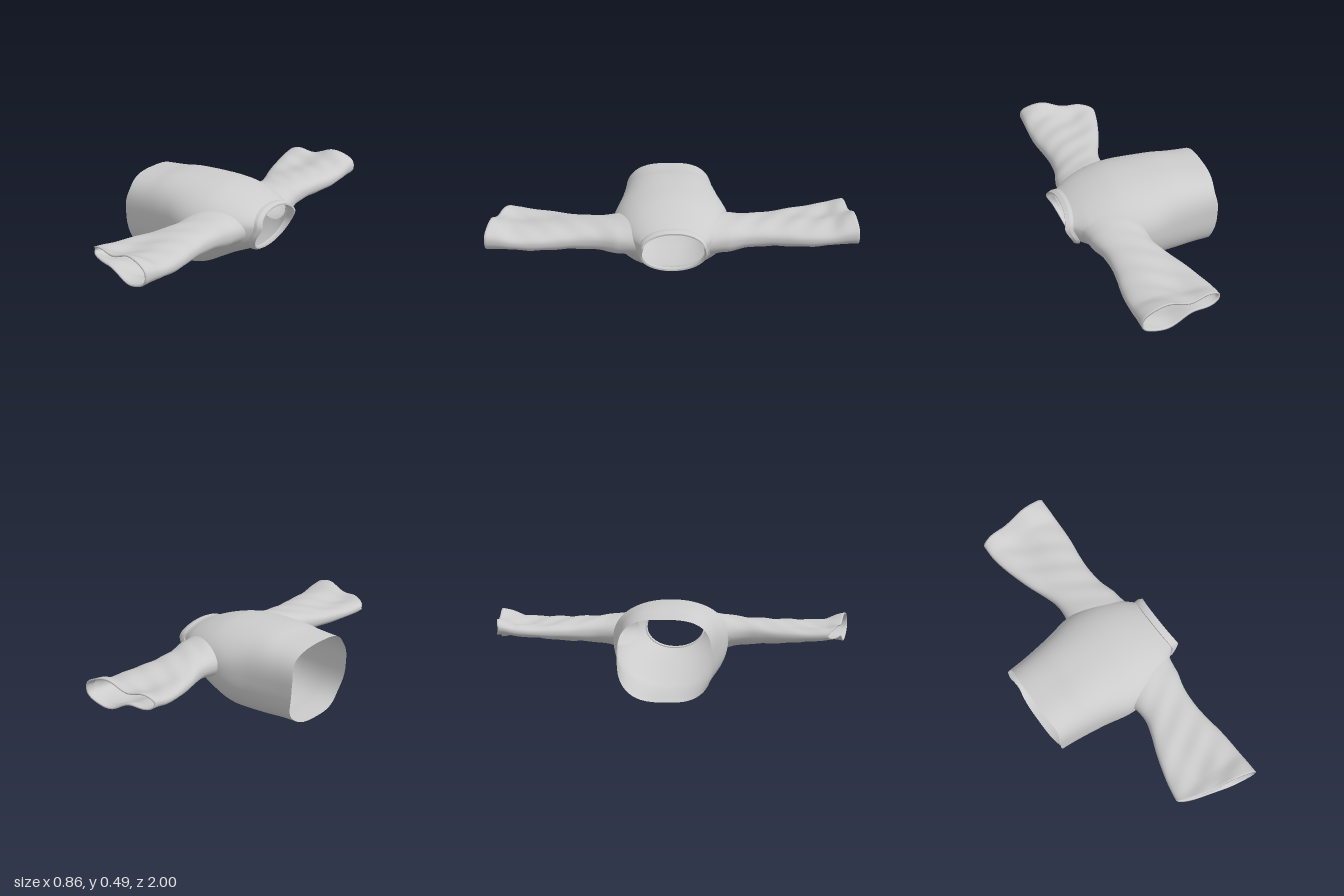
import * as THREE from 'three';

const TAU = Math.PI * 2;
const spow = (v, p) => Math.sign(v) * Math.pow(Math.abs(v), p);

// Smooth curve through [key, value] pairs
function profile(pts) {
  const n = pts.length;
  const slope = (i) => {
    const a = pts[Math.max(i - 1, 0)], b = pts[Math.min(i + 1, n - 1)];
    return (b[1] - a[1]) / (b[0] - a[0]);
  };
  return (k) => {
    if (k <= pts[0][0]) return pts[0][1];
    if (k >= pts[n - 1][0]) return pts[n - 1][1];
    let i = 0;
    while (k > pts[i + 1][0]) i++;
    const d = pts[i + 1][0] - pts[i][0], t = (k - pts[i][0]) / d, t2 = t * t, t3 = t2 * t;
    return (2 * t3 - 3 * t2 + 1) * pts[i][1] + (t3 - 2 * t2 + t) * d * slope(i)
      + (3 * t2 - 2 * t3) * pts[i + 1][1] + (t3 - t2) * d * slope(i + 1);
  };
}

const material = new THREE.MeshStandardMaterial({ color: 0xcccccc, side: THREE.DoubleSide });

// Closed rings joined into a skin; skip(x, y, z) leaves openings
function loft(name, rows, cols, point, { flip = false, skip = () => false } = {}) {
  const pos = [], idx = [];
  for (let i = 0; i <= rows; i++)
    for (let j = 0; j < cols; j++) pos.push(...point(i, (j / cols) * TAU));
  for (let i = 0; i < rows; i++)
    for (let j = 0; j < cols; j++) {
      const a = i * cols + j, d = i * cols + (j + 1) % cols, b = a + cols, c = d + cols;
      const mid = [0, 1, 2].map((k) => (pos[a * 3 + k] + pos[b * 3 + k] + pos[c * 3 + k] + pos[d * 3 + k]) / 4);
      if (skip(...mid)) continue;
      if (flip) idx.push(a, c, b, a, d, c);
      else idx.push(a, b, c, a, c, d);
    }
  const g = new THREE.BufferGeometry();
  g.setAttribute('position', new THREE.Float32BufferAttribute(pos, 3));
  g.setIndex(idx);
  g.computeVertexNormals();
  const mesh = new THREE.Mesh(g, material);
  mesh.name = name;
  return mesh;
}

// Torso profiles along x, from hem to neck
const top = profile([[-0.43, 0.46], [-0.3, 0.472], [-0.2, 0.487], [-0.07, 0.492], [0.1, 0.486], [0.2, 0.466], [0.3, 0.433], [0.4, 0.385]]);
const bottom = profile([[-0.43, 0.013], [-0.3, 0.011], [-0.2, 0.004], [-0.03, 0.001], [0.03, 0.015], [0.1, 0.053], [0.2, 0.108], [0.3, 0.152], [0.4, 0.192]]);
const half = profile([[-0.43, 0.25], [-0.3, 0.262], [-0.15, 0.285], [0, 0.32], [0.1, 0.318], [0.2, 0.292], [0.3, 0.24], [0.36, 0.19], [0.4, 0.155]]);
const middle = profile([[-0.43, 0.25], [-0.1, 0.27], [0.1, 0.29], [0.3, 0.32], [0.4, 0.325]]);
const power = profile([[-0.43, 2.9], [-0.2, 2.6], [0, 2.2], [0.2, 2.1], [0.4, 2]]);
// Uneven hem and curved neckline, by height around the ring
const hemX = profile([[-1, -0.41], [-0.6, -0.4], [0.1, -0.43], [0.6, -0.42], [1, -0.432]]);
const neckX = profile([[-1, 0.33], [-0.5, 0.358], [0, 0.388], [0.5, 0.382], [1, 0.365]]);

function torsoPoint(x, a) {
  const p = 2 / power(x), m = middle(x), s = Math.sin(a);
  const h = s > 0 ? top(x) - m : m - bottom(x);
  return [x, m + h * spow(s, p), half(x) * spow(Math.cos(a), p)];
}
function torsoDepth(x, y) {
  const m = middle(x), h = y > m ? top(x) - m : m - bottom(x), n = power(x);
  return half(x) * Math.pow(Math.max(0, 1 - Math.pow(Math.abs(y - m) / h, n)), 1 / n);
}

// Armhole ellipse on the torso side
const arm = { x: 0.182, y: 0.3, rx: 0.166, ry: 0.1 };
const inArmhole = (x, y) => ((x - arm.x) / arm.rx) ** 2 + ((y - arm.y) / arm.ry) ** 2 < 0.84;

// Sleeve profiles along z, from shoulder to cuff
const under = profile([[0.3, 0.03], [0.42, 0.022], [0.5, -0.002], [0.6, -0.042], [0.7, -0.075], [0.8, -0.102], [0.88, -0.115], [1, -0.115]]);
const over = profile([[0.3, 0.325], [0.4, 0.302], [0.5, 0.295], [0.6, 0.302], [0.7, 0.316], [0.8, 0.322], [1, 0.322]]);
const high = profile([[0.3, 0.385], [0.45, 0.375], [0.7, 0.37], [0.86, 0.375], [0.93, 0.4], [1, 0.42]]);
const low = profile([[0.3, 0.222], [0.45, 0.234], [0.75, 0.236], [0.9, 0.248], [1, 0.24]]);

function sleevePoint(z, a, inset) {
  const x0 = under(z), x1 = over(z), c = Math.cos(a), s = Math.sin(a);
  const x = (x0 + x1) / 2 + ((x1 - x0) / 2 - inset) * spow(c, 0.9);
  const fold = THREE.MathUtils.smoothstep(z, 0.4, 0.9);
  // flattened waist and smaller underarm bulge toward the cuff
  const pinch = 1 - fold * (0.5 * Math.exp(-(((x - 0.05) / 0.09) ** 2)) + 0.25 * THREE.MathUtils.smoothstep(-x, -0.1, 0.08));
  const lift = fold * 0.016 * THREE.MathUtils.smoothstep(-x, -0.15, 0.06);
  const wrinkle = 0.003 * Math.sin(z * 42 + x * 25) * s;
  const y = (high(z) + low(z)) / 2 + lift + wrinkle + ((high(z) - low(z)) / 2 * pinch - inset) * spow(s, 0.82);
  return [x, y];
}

function sleeve(name, side, cuffLow) {
  const rows = 60, hemRows = 4;
  return loft(name, rows + hemRows, 72, (i, a) => {
    // the last rows turn back inside the cuff
    const turned = Math.max(0, i - rows);
    const t = turned ? 1 - 0.02 * (turned - 1) : i / rows;
    const rx = arm.x + arm.rx * Math.cos(a), ry = arm.y + arm.ry * Math.sin(a);
    const z0 = torsoDepth(rx, ry);
    const cuff = THREE.MathUtils.lerp(cuffLow, 0.998, Math.pow((1 + Math.cos(a)) / 2, 0.6));
    const z = THREE.MathUtils.lerp(z0, cuff, t);
    const [x, y] = sleevePoint(z, a, turned ? 0.009 : 0);
    const w = 1 - Math.pow(1 - Math.min(1, t / 0.26), 2.4);
    return [rx + (x - rx) * w, ry + (y - ry) * w, z * side];
  }, { flip: side > 0 });
}

export function createModel() {
  const model = new THREE.Group();
  model.name = 'shirt';

  // Torso with open hem, neck and armholes
  const rows = 110;
  model.add(loft('torso', rows, 176, (i, a) => {
    const s = Math.sin(a);
    const [x, y, z] = torsoPoint(THREE.MathUtils.lerp(hemX(s), neckX(s), i / rows), a);
    return [x, y, z];
  }, { skip: (x, y, z) => Math.abs(z) > 0.08 && inArmhole(x, y) }));

  // Sleeves, with slanted cuffs
  model.add(sleeve('frontSleeve', 1, 0.87), sleeve('backSleeve', -1, 0.95));

  // Collar band: [along the neck, outward] around a thin section
  const section = [[-0.006, -0.004], [-0.004, 0.012], [0.016, 0.012], [0.039, 0.003], [0.038, -0.006], [0.012, -0.003], [-0.006, -0.004]];
  const band = loft('collar', section.length - 1, 72, (i, a) => {
    const s = Math.sin(a), [along, out] = section[i];
    const [x, y, z] = torsoPoint(neckX(s), a);
    const reach = along * (s < 0 ? 1 + 0.35 * s : 1);
    return [x + reach, y + out * s, z + out * Math.cos(a)];
  });
  // crisp band edges
  band.geometry = band.geometry.toNonIndexed();
  band.geometry.computeVertexNormals();
  model.add(band);

  return model;
}
